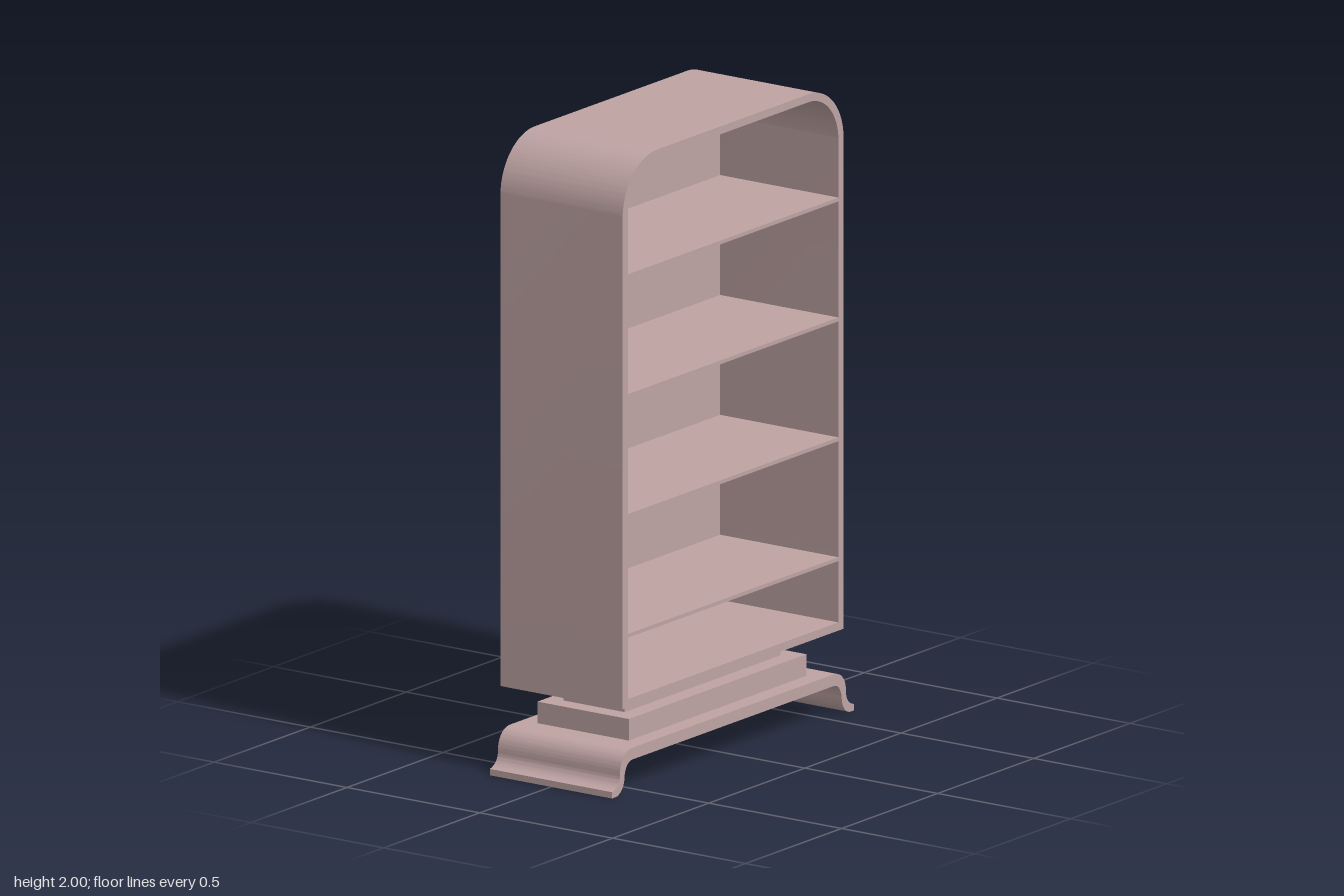
import * as THREE from 'three';
import { toCreasedNormals } from 'three/addons/utils/BufferGeometryUtils.js';

const DEPTH = 0.46;
const BACK = 0.015;

// Upright panel outline: square bottom corners, rounded top corners
function archOutline(target, w, y0, y1, r) {
  target.moveTo(-w, y0);
  target.lineTo(w, y0);
  target.lineTo(w, y1 - r);
  target.absarc(w - r, y1 - r, r, 0, Math.PI / 2, false);
  target.lineTo(-w + r, y1);
  target.absarc(-w + r, y1 - r, r, Math.PI / 2, Math.PI, false);
  target.lineTo(-w, y0);
  return target;
}

function extrude(shape, depth, z) {
  const geometry = new THREE.ExtrudeGeometry(shape, { depth, bevelEnabled: false, curveSegments: 20 });
  geometry.translate(0, 0, z);
  return toCreasedNormals(geometry, 0.5);
}

export function createModel() {
  const group = new THREE.Group();
  const material = new THREE.MeshStandardMaterial({ color: 0xbfa3a3 });

  function add(name, geometry, y = 0, z = 0) {
    const mesh = new THREE.Mesh(geometry, material);
    mesh.name = name;
    mesh.position.set(0, y, z);
    group.add(mesh);
  }

  // Cabinet frame, open at the front
  const frame = archOutline(new THREE.Shape(), 0.575, 0.27, 2, 0.18);
  frame.holes.push(archOutline(new THREE.Path(), 0.548, 0.296, 1.975, 0.155));
  add('cabinetFrame', extrude(frame, DEPTH - BACK, -DEPTH / 2 + BACK));

  // Back panel
  const back = archOutline(new THREE.Shape(), 0.575, 0.27, 2, 0.18);
  add('backPanel', extrude(back, BACK, -DEPTH / 2));

  // Evenly spaced shelves
  for (let i = 0; i < 4; i++) {
    add('shelf' + (i + 1), new THREE.BoxGeometry(1.096, 0.012, DEPTH - BACK), 0.496 + i * 0.379, BACK / 2);
  }

  // Stepped pedestal
  add('upperPlinth', new THREE.BoxGeometry(0.81, 0.066, 0.23), 0.238);
  add('lowerPlinth', new THREE.BoxGeometry(0.925, 0.068, 0.344), 0.171);

  // Base plate whose ends curl down into flared feet
  const base = new THREE.Shape();
  base.moveTo(-0.52, 0.137);
  base.bezierCurveTo(-0.567, 0.137, -0.588, 0.105, -0.588, 0.066);
  base.bezierCurveTo(-0.588, 0.038, -0.61, 0.024, -0.63, 0.02);
  base.lineTo(-0.63, 0);
  base.lineTo(-0.607, 0);
  base.bezierCurveTo(-0.58, 0.006, -0.565, 0.028, -0.565, 0.056);
  base.bezierCurveTo(-0.56, 0.085, -0.545, 0.1, -0.52, 0.1);
  base.lineTo(0.52, 0.1);
  base.bezierCurveTo(0.545, 0.1, 0.56, 0.085, 0.565, 0.056);
  base.bezierCurveTo(0.565, 0.028, 0.58, 0.006, 0.607, 0);
  base.lineTo(0.63, 0);
  base.lineTo(0.63, 0.02);
  base.bezierCurveTo(0.61, 0.024, 0.588, 0.038, 0.588, 0.066);
  base.bezierCurveTo(0.588, 0.105, 0.567, 0.137, 0.52, 0.137);
  base.lineTo(-0.52, 0.137);
  add('footedBase', extrude(base, DEPTH, -DEPTH / 2));

  return group;
}
